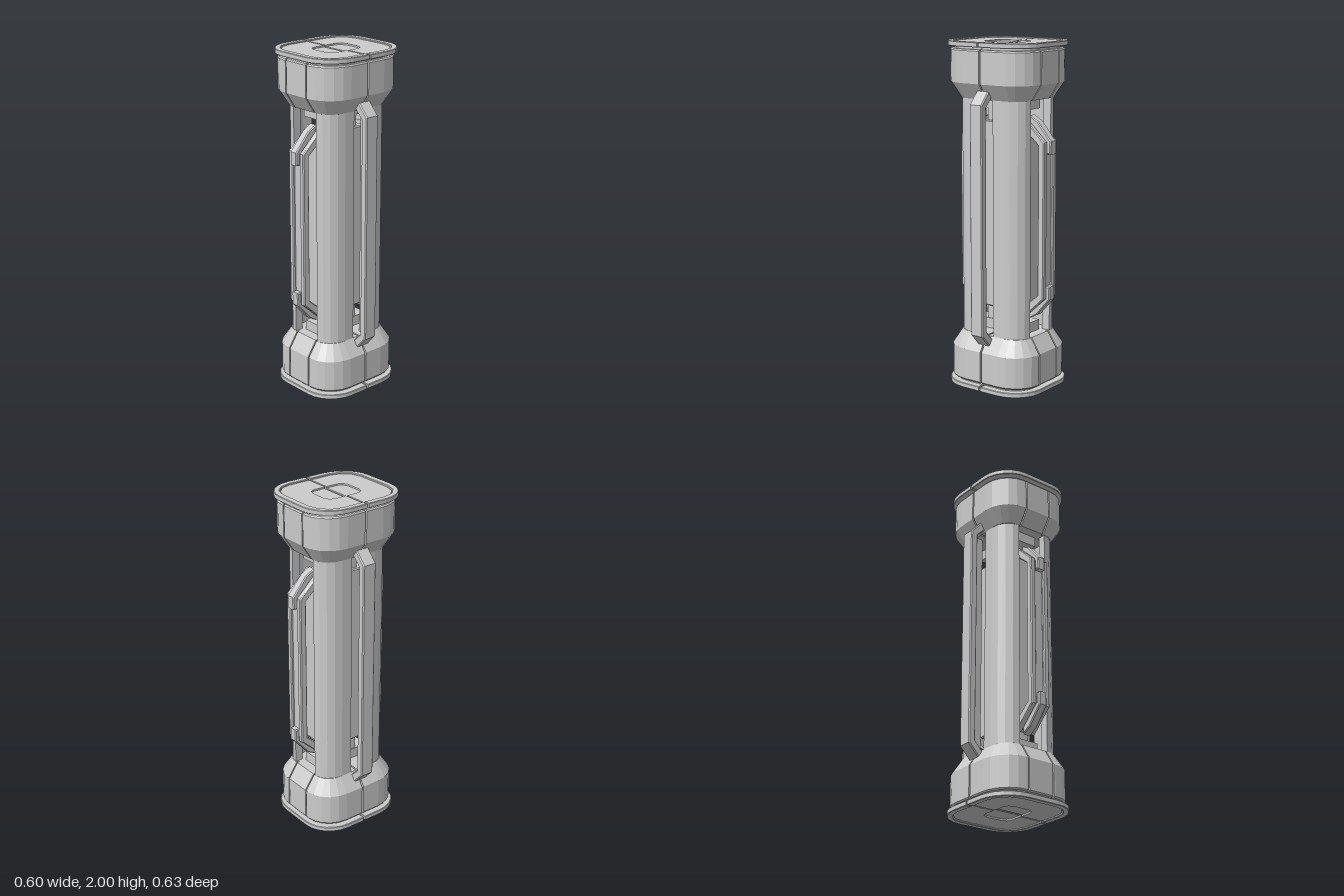
import * as THREE from 'three';

const mat = new THREE.MeshStandardMaterial({ color: 0xcccccc, flatShading: true });
const GAP = 0.005; // half width of the seam between front and back halves

function add(parent, geometry, name) {
  const mesh = new THREE.Mesh(geometry, mat);
  mesh.name = name;
  parent.add(mesh);
  return mesh;
}

function box(parent, name, w, y0, y1, d) {
  return add(parent, new THREE.BoxGeometry(w, y1 - y0, d).translate(0, (y0 + y1) / 2, 0), name);
}

// Rounded front half of a cross-section in x, z, running from right to left side.
function halfOutline(hx, hz, cx, cz, segs, groove = 0) {
  const right = [[hx, GAP]];
  for (let i = 0; i <= segs; i++) {
    const a = (i / segs) * Math.PI / 2;
    right.push([cx + (hx - cx) * Math.cos(a), cz + (hz - cz) * Math.sin(a)]);
  }
  if (groove) right.push([0.088, hz], [0.088, hz - groove], [0.08, hz - groove], [0.08, hz]);
  const left = right.map(([x, z]) => [-x, z]).reverse();
  return [...right, ...left].map(([x, z]) => new THREE.Vector2(x, z));
}

// Extrudes an x, z outline between two heights.
function slab(points, y0, y1, bevel = 0) {
  const g = new THREE.ExtrudeGeometry(new THREE.Shape(points), {
    depth: y1 - y0 - 2 * bevel, bevelEnabled: bevel > 0, bevelSize: bevel,
    bevelThickness: bevel, bevelOffset: -bevel, bevelSegments: 1
  });
  return g.rotateX(Math.PI / 2).translate(0, y1 - bevel, 0);
}

// Joins half outlines at several heights into a closed solid.
function loft(levels) {
  const rings = levels.map(([y, hx, hz]) => ({ y, pts: halfOutline(hx, hz, 0.1, 0.12, 5, 0.014) }));
  const n = rings[0].pts.length, pos = [], idx = [];
  for (const r of rings) for (const p of r.pts) pos.push(p.x, r.y, p.y);
  for (let k = 0; k < rings.length - 1; k++) {
    for (let i = 0; i < n; i++) {
      const a = k * n + i, b = k * n + (i + 1) % n;
      idx.push(a, a + n, b, b, a + n, b + n);
    }
  }
  const top = (rings.length - 1) * n;
  for (const [a, b, c] of THREE.ShapeUtils.triangulateShape(rings[0].pts, [])) idx.push(a, b, c);
  for (const [a, b, c] of THREE.ShapeUtils.triangulateShape(rings[rings.length - 1].pts, [])) {
    idx.push(top + a, top + c, top + b);
  }
  const g = new THREE.BufferGeometry();
  g.setAttribute('position', new THREE.Float32BufferAttribute(pos, 3));
  g.setIndex(idx);
  const flat = g.toNonIndexed();
  flat.computeVertexNormals();
  return flat;
}

// Bar bent in the distance/height plane, extruded to a width centred on zero.
function bar(points, width) {
  const b = 0.006;
  const g = new THREE.ExtrudeGeometry(new THREE.Shape(points.map(p => new THREE.Vector2(...p))), {
    depth: width - 2 * b, bevelEnabled: true, bevelSize: b, bevelThickness: b, bevelOffset: -b, bevelSegments: 1
  });
  return g.translate(0, 0, -width / 2 + b);
}

// Handle outline: the upper half is mirrored about mid height.
function handleOutline(outer, inner) {
  const flip = list => list.map(([d, y]) => [d, 2 - y]).reverse();
  return [...outer, ...flip(outer), ...flip(inner).reverse(), ...inner.slice().reverse()];
}

// One half of an end: collar, neck, rimmed plate and recessed panel.
function endHalf() {
  const g = new THREE.Group();
  add(g, loft([[1.68, 0.2, 0.23], [1.77, 0.26, 0.29], [1.95, 0.26, 0.29], [1.958, 0.254, 0.284]]), 'collar');
  add(g, slab(halfOutline(0.235, 0.262, 0.1, 0.12, 5), 1.95, 1.978), 'neck');
  const outer = halfOutline(0.277, 0.305, 0.1, 0.12, 6);
  const rimInner = halfOutline(0.24, 0.267, 0.115, 0.14, 3);
  const panelOuter = halfOutline(0.235, 0.262, 0.115, 0.14, 3);
  const panelInner = halfOutline(0.092, 0.121, 0.045, 0.08, 2);
  add(g, slab(outer, 1.972, 1.984, 0.003), 'endPlate');
  add(g, slab([...outer, ...rimInner.reverse()], 1.978, 2, 0.003), 'endRim');
  add(g, slab([...panelOuter, ...panelInner.reverse()], 1.98, 1.993), 'endPanel');
  return g;
}

export function createModel() {
  const model = new THREE.Group();
  model.name = 'canister';

  // Both ends, each split into a front and a back half
  for (const s of [1, -1]) {
    const end = new THREE.Group();
    end.name = s > 0 ? 'topEnd' : 'bottomEnd';
    for (const z of [1, -1]) {
      const half = endHalf();
      half.name = z > 0 ? 'frontHalf' : 'backHalf';
      half.scale.z = z;
      end.add(half);
    }
    box(end, 'seamFill', 0.46, 1.72, 1.974, 0.012);
    box(end, 'slotBlock', 0.15, 1.62, 1.7, 0.34);
    end.scale.y = s;
    if (s < 0) end.position.y = 2;
    model.add(end);
  }

  // Four rounded corner columns, leaving slots on all sides
  const arc = (rx, rz) => {
    const pts = [];
    for (let i = 0; i <= 4; i++) {
      const a = (i / 4) * Math.PI / 2;
      pts.push(new THREE.Vector2(0.095 + rx * Math.cos(a), 0.11 + rz * Math.sin(a)));
    }
    return pts;
  };
  const v = (x, z) => new THREE.Vector2(x, z);
  const section = [v(0.2, 0.045), ...arc(0.105, 0.12), ...arc(0.06, 0.07).reverse(), v(0.155, 0.045)];
  for (const x of [1, -1]) for (const z of [1, -1]) {
    const col = add(model, slab(section, 0.3, 1.7), 'cornerColumn');
    col.scale.set(x, 1, z);
  }

  // Inner core with chamfered ends, on a narrow spine
  const core = [[0.13, 1.55], [0.17, 1.51], [0.17, 0.5], [0.13, 0.46],
    [-0.13, 0.46], [-0.17, 0.5], [-0.17, 1.51], [-0.13, 1.55]];
  add(model, bar(core, 0.18), 'core').rotation.y = -Math.PI / 2;
  box(model, 'spine', 0.14, 0.32, 1.68, 0.18);

  // Side handles
  const sidePath = handleOutline([[0.19, 1.77], [0.222, 1.742], [0.298, 1.66]], [[0.19, 1.705], [0.254, 1.64]]);
  for (const s of [1, -1]) {
    const h = add(model, bar(sidePath, 0.085), 'sideHandle');
    h.rotation.y = s > 0 ? 0 : Math.PI;
  }

  // Front and back handles: twin rails, a recessed middle and clips at the bends
  const rail = handleOutline([[0.16, 1.575], [0.296, 1.45]], [[0.16, 1.51], [0.254, 1.43]]);
  const middle = handleOutline([[0.16, 1.56], [0.284, 1.445]], [[0.16, 1.515], [0.258, 1.43]]);
  const clip = [[0.17, 1.59], [0.225, 1.56], [0.315, 1.455], [0.315, 1.38], [0.285, 1.38], [0.285, 1.44], [0.17, 1.54]];
  for (const s of [1, -1]) {
    const handle = new THREE.Group();
    handle.name = s > 0 ? 'frontHandle' : 'backHandle';
    for (const side of [1, -1]) {
      add(handle, bar(rail, 0.034), 'handleRail').position.z = side * 0.046;
      const c = add(handle, bar(clip, 0.052), 'handleClip');
      c.scale.y = side;
      if (side < 0) c.position.y = 2;
    }
    add(handle, bar(middle, 0.062), 'handleMiddle');
    handle.rotation.y = -s * Math.PI / 2;
    model.add(handle);
  }
  return model;
}
